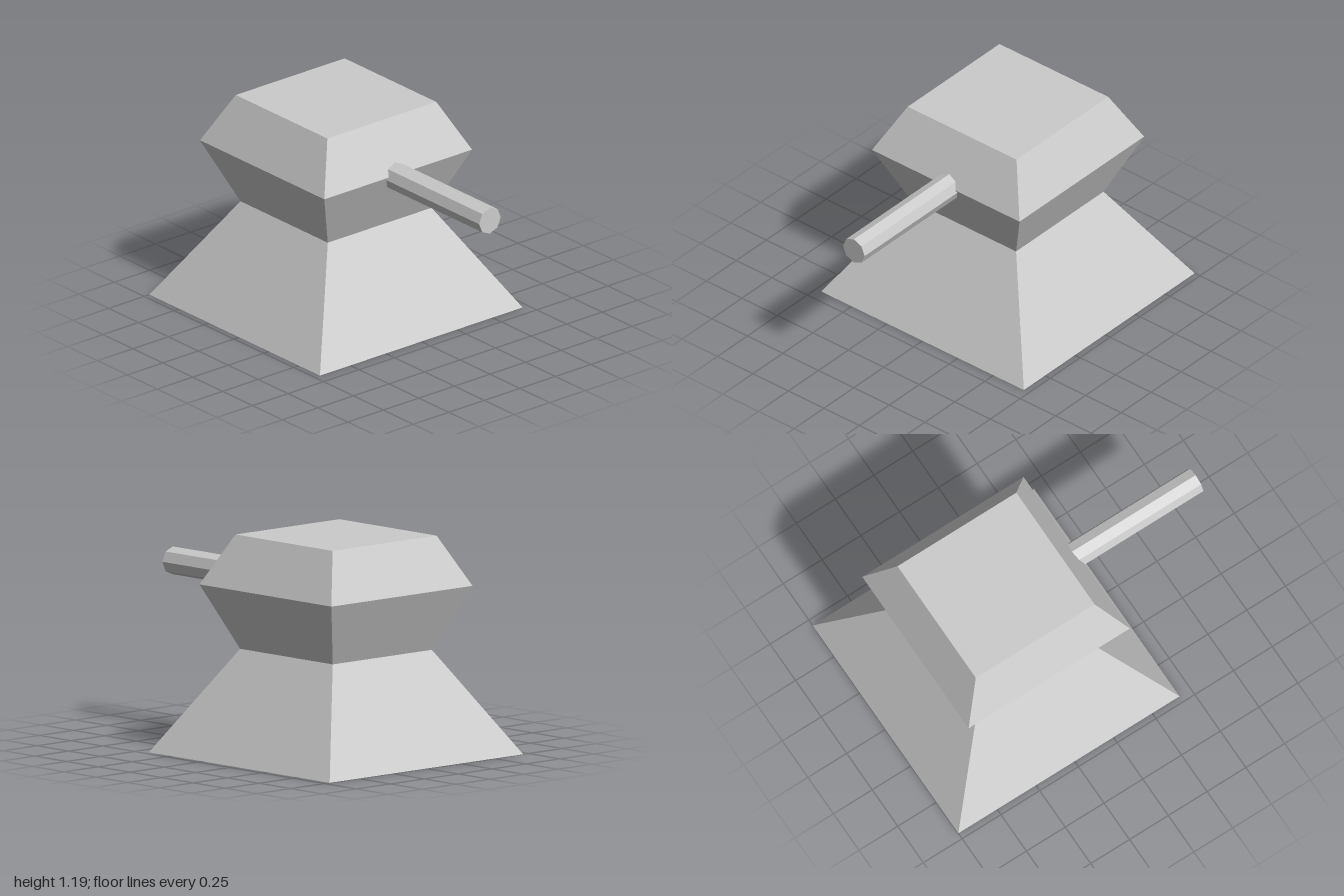
import * as THREE from 'three';

const BODY_Z = -0.287;

export function createModel() {
  const model = new THREE.Group();
  const material = new THREE.MeshStandardMaterial({ color: 0xcccccc, flatShading: true });

  function add(name, geometry, y, z) {
    const mesh = new THREE.Mesh(geometry, material);
    mesh.name = name;
    mesh.position.set(0, y, z);
    model.add(mesh);
  }

  // Square-sided solid from [half width, height] pairs, listed bottom to top
  function squareStack(profile) {
    const points = profile.map(([half, y]) => new THREE.Vector2(half * Math.SQRT2, y));
    return new THREE.LatheGeometry(points, 4, Math.PI / 4);
  }

  // Flared pedestal with a closed underside
  add('base', squareStack([[0, 0], [0.713, 0], [0.365, 0.567]]), 0, BODY_Z);

  // Turret: widens from the neck, then tapers to a flat roof
  add('turret', squareStack([[0.365, 0.567], [0.52, 0.917], [0.383, 1.19], [0, 1.19]]), 0, BODY_Z);

  // Eight-sided barrel running from inside the turret out to the front
  const back = BODY_Z, front = 1;
  const barrel = new THREE.CylinderGeometry(0.076, 0.076, front - back, 8).rotateX(Math.PI / 2);
  add('barrel', barrel, 0.902, (front + back) / 2);

  return model;
}
